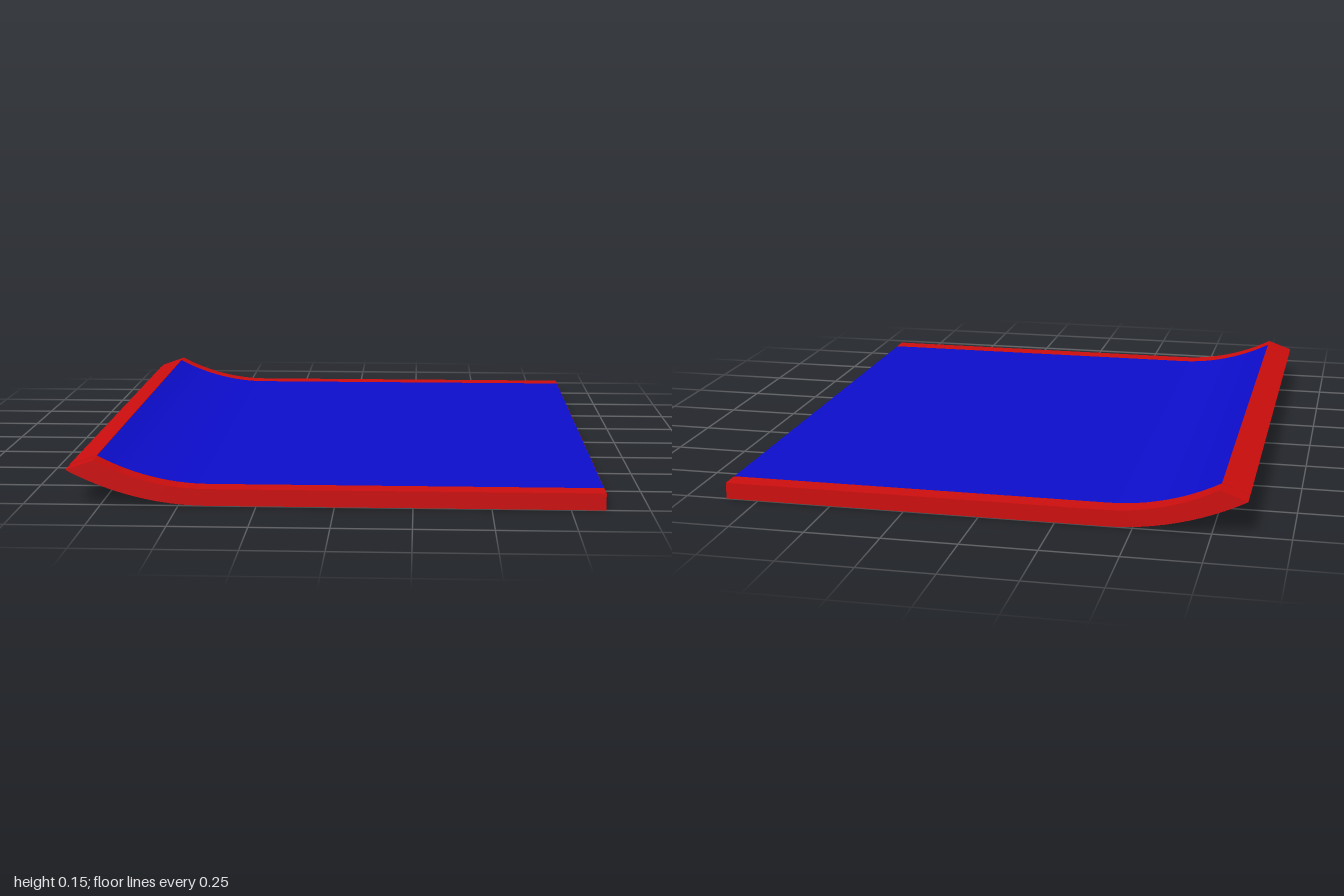
import * as THREE from 'three';

const RED = new THREE.MeshStandardMaterial({ color: 0xcc0d0d, flatShading: true });
const BLUE = new THREE.MeshStandardMaterial({ color: 0x0d0dcc, flatShading: true });

const N = 12;        // steps along the curled end
const BEND = -0.41;  // where the flat part starts to curl up
const EDGE = 0.86;   // flat end
const RAIL = 0.07;   // rim width

// Point on an arc that starts level at (BEND, y0) and ends at (x1, y1); u runs 0..1
function arc(u, y0, x1, y1) {
  const dx = BEND - x1, dy = y1 - y0;
  const r = (dx * dx + dy * dy) / (2 * dy);
  const a = u * Math.asin(dx / r);
  return new THREE.Vector2(BEND - r * Math.sin(a), y0 + r * (1 - Math.cos(a)));
}
const top = (u) => arc(u, 0.055, -0.77, 0.145);
const bottom = (u) => arc(u, 0, -0.86, 0.113);
const inner = (u) => bottom(u).lerp(top(u), 0.45); // recessed underside

function sample(fn, u0, u1) {
  return Array.from({ length: N + 1 }, (_, i) => fn(u0 + ((u1 - u0) * i) / N));
}

// Side profile in x and y, extruded from z0 to z1
function profilePart(name, points, z0, z1, material) {
  const geometry = new THREE.ExtrudeGeometry(new THREE.Shape(points), { depth: z1 - z0, bevelEnabled: false });
  geometry.translate(0, 0, z0);
  const mesh = new THREE.Mesh(geometry, material);
  mesh.name = name;
  return mesh;
}

export function createModel() {
  const model = new THREE.Group();
  model.name = 'curledTray';
  const V = (x, y) => new THREE.Vector2(x, y);
  const inside = 1 - RAIL;

  // Full-thickness rails along the two long curled sides
  const rail = [V(EDGE, 0), V(EDGE, 0.055), ...sample(top, 0, 1), ...sample(bottom, 1, 0)];
  model.add(profilePart('frontRail', rail, inside, 1, RED));
  model.add(profilePart('backRail', rail, -1, -inside, RED));

  // Panel: flush on top, recessed beneath, with a thick lip at the curled end
  const lip = 0.85;
  const panel = [
    V(EDGE - 0.001, 0.025), V(EDGE - 0.001, 0.055),
    ...sample(top, 0, 1), ...sample(bottom, 1, lip), ...sample(inner, lip, 0),
  ];
  model.add(profilePart('panel', panel, -inside, inside, BLUE));

  // Crossbar under the flat end
  const bar = [V(EDGE - RAIL, 0), V(EDGE, 0), V(EDGE, 0.054), V(EDGE - RAIL, 0.054)];
  model.add(profilePart('crossbar', bar, -inside, inside, RED));

  // Thin cap covering the slanted tip of the panel
  const a = bottom(1), b = top(1);
  const out = V(a.y - b.y, b.x - a.x).normalize().multiplyScalar(0.002);
  const cap = [a, b, b.clone().add(out), a.clone().add(out)];
  model.add(profilePart('tipCap', cap, -inside, inside, RED));

  return model;
}
